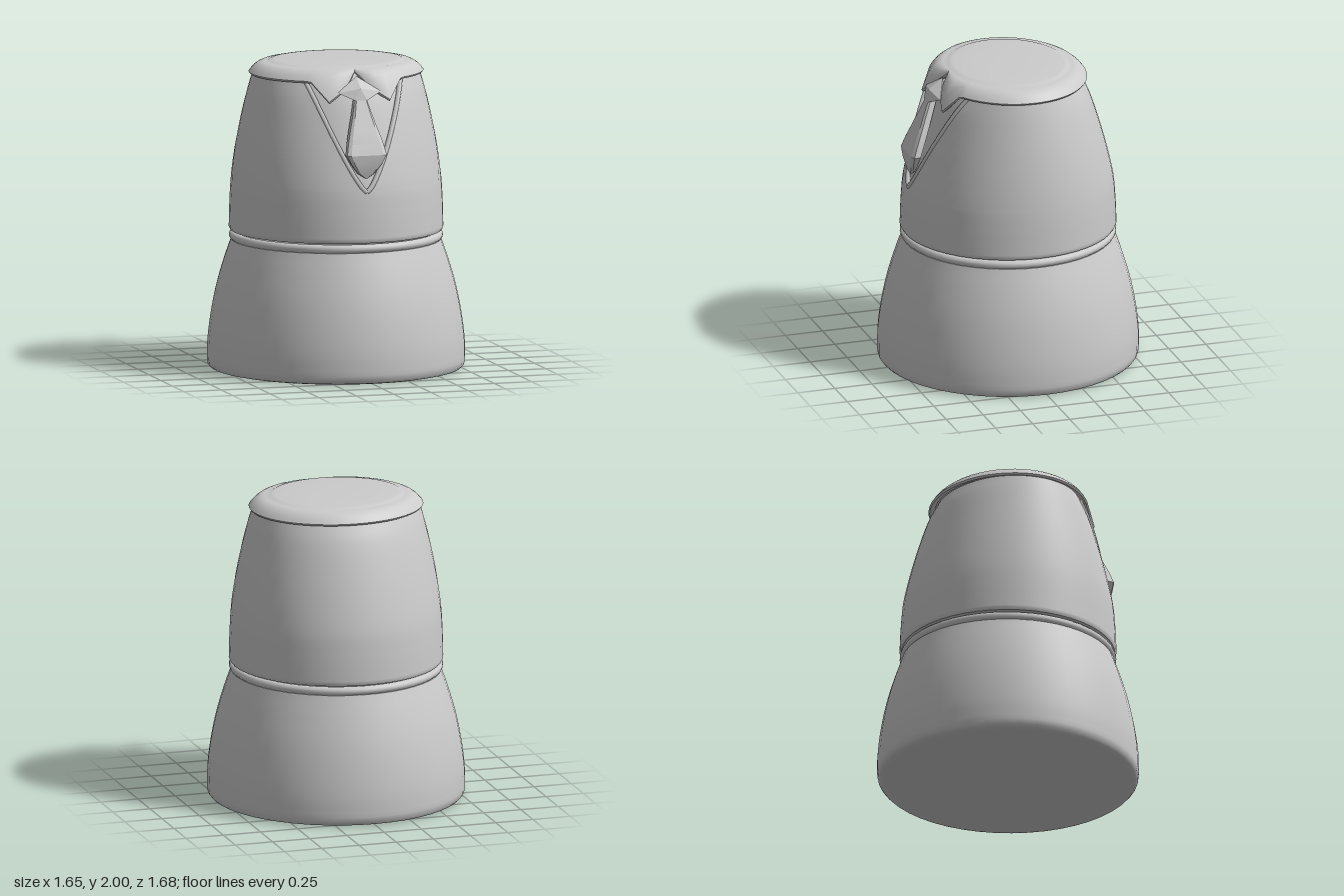
import * as THREE from 'three';
import { mergeVertices, toCreasedNormals } from 'three/addons/utils/BufferGeometryUtils.js';
import { ConvexGeometry } from 'three/addons/geometries/ConvexGeometry.js';

const V = (x, y, z) => new THREE.Vector3(x, y, z);
const grey = new THREE.MeshStandardMaterial({ color: 0xcccccc, side: THREE.DoubleSide });
const faceted = new THREE.MeshStandardMaterial({ color: 0xcccccc, side: THREE.DoubleSide, flatShading: true });
const SEG = 48;

// Skin over rows of points, listed bottom to top and counter-clockwise from above
function skin(rows, crease) {
  const n = rows[0].length, index = [];
  const geo = new THREE.BufferGeometry().setFromPoints(rows.flat());
  for (let i = 0; i < rows.length - 1; i++) {
    for (let j = 0; j < n - 1; j++) {
      const a = i * n + j, d = a + n;
      index.push(a, a + 1, d + 1, a, d + 1, d);
    }
  }
  geo.setIndex(index);
  const welded = mergeVertices(geo, 1e-4);
  welded.computeVertexNormals();
  return crease ? toCreasedNormals(welded, crease) : welded;
}

// One elliptical row; the angle starts at the front
function arc(rx, y, rz, from, to, n = SEG) {
  return Array.from({ length: n + 1 }, (_, j) => {
    const a = from + (to - from) * j / n;
    return V(rx * Math.sin(a), y, rz * Math.cos(a));
  });
}

// Smooth profile of (x radius, height, z radius)
const profile = (pts, k = 4) =>
  new THREE.CatmullRomCurve3(pts.map(p => V(...p))).getPoints((pts.length - 1) * k);

// Half width of the neckline opening
const TIP = 1.22, TOP = 1.91;
const neck = y => (y <= TIP + 1e-4 ? 0 : 0.32 * Math.pow((y - TIP) / (TOP - TIP), 0.75));
const neckAngle = p => Math.asin(neck(p.y) / p.x);

export function createModel() {
  const group = new THREE.Group();
  const add = (name, geo, mat = grey) => {
    const mesh = new THREE.Mesh(geo, mat);
    mesh.name = name;
    group.add(mesh);
    return mesh;
  };

  // Lower body with a rounded bottom edge
  const lower = [[0, 0, 0], [0.77, 0, 0.785], [0.805, 0.008, 0.82], [0.82, 0.025, 0.835]].map(p => V(...p))
    .concat(profile([[0.825, 0.06, 0.84], [0.822, 0.18, 0.837], [0.803, 0.34, 0.817], [0.768, 0.52, 0.78],
      [0.72, 0.69, 0.73], [0.672, 0.83, 0.682]]), [V(0.63, 0.845, 0.64)]);
  add('lowerBody', skin(lower.map(p => arc(p.x, p.y, p.z, 0, Math.PI * 2)), 0.7));

  // Belt ring
  const belt = add('belt', new THREE.TorusGeometry(0.655, 0.029, 12, SEG));
  belt.rotation.x = Math.PI / 2;
  belt.scale.set(1, 1.015, 1);
  belt.position.y = 0.856;

  // Upper body, open at the neckline
  const upper = profile([[0.686, 0.91, 0.695], [0.684, 1.0, 0.692], [0.681, 1.1, 0.686], [0.674, TIP, 0.674],
    [0.653, 1.4, 0.634], [0.618, 1.6, 0.578], [0.573, 1.8, 0.51], [0.543, TOP, 0.455]], 6);
  const hem = [V(0.63, 0.888, 0.64), V(0.678, 0.894, 0.687)];
  add('upperBody', skin(hem.concat(upper).map(p => {
    const a = neckAngle(p);
    return arc(p.x, p.y, p.z, a, Math.PI * 2 - a);
  }), 0.7));

  // Recessed shirt front, closed over at the top
  const open = upper.filter(p => p.y >= TIP - 1e-4);
  const shirt = open.map(p => {
    const a = neckAngle(p) + 0.02;
    return arc(p.x - 0.022, p.y, p.z - 0.022, -a, a, 12);
  });
  shirt.push(shirt[shirt.length - 1].map(p => V(p.x * 0.7, 1.955, p.z * 0.7)));
  add('shirtFront', skin(shirt));

  // Raised trim along both sides of the neckline
  for (const side of [-1, 1]) {
    const path = open.map(p => {
      const a = side * neckAngle(p);
      return V((p.x - 0.004) * Math.sin(a), p.y, (p.z - 0.004) * Math.cos(a));
    });
    add(side > 0 ? 'leftTrim' : 'rightTrim',
      new THREE.TubeGeometry(new THREE.CatmullRomCurve3(path), 40, 0.016, 6));
  }

  // Lid whose rim folds down into two collar points: [angle, x, y, z]
  const fold = [[0.56, 0.3, 1.912, 0.428], [0.36, 0.205, 1.79, 0.515], [0.23, 0.13, 1.838, 0.5], [0.1, 0.055, 1.905, 0.46]];
  const rim = [{ a: 0, p: V(0, 1.965, 0.405) }];
  for (const [a, x, y, z] of [...fold].reverse()) rim.push({ a, p: V(x, y, z) });
  for (let i = 0; i <= 40; i++) {
    const a = 0.62 + (Math.PI * 2 - 1.24) * i / 40;
    rim.push({ a, p: V(0.565 * Math.sin(a), 1.916, 0.5 * Math.cos(a)) });
  }
  for (const [a, x, y, z] of fold) rim.push({ a: Math.PI * 2 - a, p: V(-x, y, z) });
  rim.push({ a: Math.PI * 2, p: V(0, 1.965, 0.405) });
  const inner = (a, s, y) => V(0.565 * s * Math.sin(a), y, 0.5 * s * Math.cos(a));
  const lid = [
    rim.map(({ p }) => V(p.x * 0.92, p.y - 0.002, p.z * 0.92)),
    rim.map(({ p }) => V(p.x * 0.985, p.y - 0.012, p.z * 0.985)),
  ];
  for (const u of [1, 0.9, 0.75, 0.55, 0.35, 0.15]) {
    lid.push(rim.map(({ a, p }) => {
      const q = inner(a, 0.78, 1.984);
      const r = q.clone().lerp(p, u);
      r.y = q.y + (p.y - q.y) * Math.pow(u, 2.6);
      return r;
    }));
  }
  for (const [s, y] of [[0.78, 1.984], [0.75, 1.991], [0.7, 1.994], [0.4, 1.999], [0, 2]]) {
    lid.push(rim.map(({ a }) => inner(a, s, y)));
  }
  add('collarLid', skin(lid, 0.6));

  // Faceted tie knot
  const knot = [V(0, 1.94, 0.44), V(0, 1.872, 0.535), V(0, 1.8, 0.47)];
  for (const s of [-1, 1]) {
    knot.push(V(s * 0.145, 1.845, 0.505), V(s * 0.04, 1.797, 0.552), V(s * 0.1, 1.84, 0.455));
  }
  add('tieKnot', new ConvexGeometry(knot), faceted);

  // Hanging tie blade: [height, half width, front z, back z]
  const blade = [[1.31, 0.008, 0.662, 0.65], [1.34, 0.055, 0.67, 0.645], [1.4, 0.1, 0.682, 0.64], [1.46, 0.132, 0.686, 0.632],
    [1.53, 0.117, 0.661, 0.605], [1.61, 0.094, 0.627, 0.572], [1.7, 0.067, 0.59, 0.536], [1.81, 0.038, 0.545, 0.495]];
  const tie = blade.map(([y, w, f, b]) => [V(-w, y, b), V(-w, y, f - 0.012), V(-w * 0.8, y, f),
    V(w * 0.8, y, f), V(w, y, f - 0.012), V(w, y, b), V(-w, y, b)]);
  tie.unshift(tie[0].map(() => V(0, 1.308, 0.656)));
  add('tieBlade', skin(tie, 0.4));

  return group;
}
